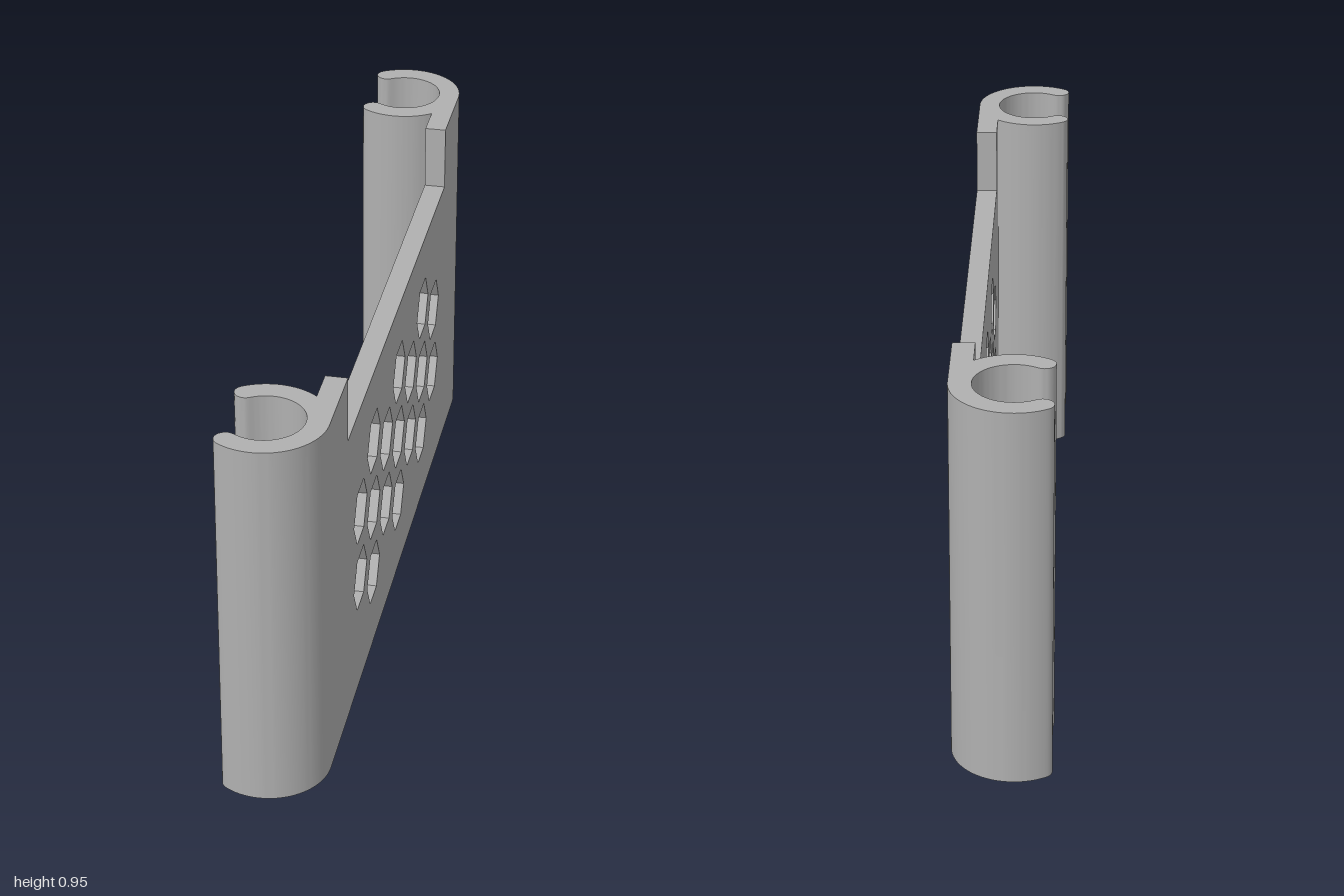
import * as THREE from 'three';
import { toCreasedNormals } from 'three/addons/utils/BufferGeometryUtils.js';

const HEIGHT = 0.948, PANEL_TOP = 0.782, PANEL_HALF = 0.648;
const CX = -0.028, CZ = 0.853;            // clip centre
const R_OUT = 0.147, R_IN = 0.094;        // clip radii
const THICK = R_OUT - R_IN;
const X_IN = CX + R_IN, X_OUT = CX + R_OUT;
const OPEN = THREE.MathUtils.degToRad(123); // half sweep of the C

// Points along an arc
function arc(cx, cy, r, a0, a1, n) {
  return Array.from({ length: n + 1 }, (_, i) => {
    const a = a0 + (a1 - a0) * i / n;
    return new THREE.Vector2(cx + r * Math.cos(a), cy + r * Math.sin(a));
  });
}

// C-shaped clip with rounded lips, joined to a short flat web
function clipGeometry(side) {
  const mid = (R_OUT + R_IN) / 2;
  const lip = (a, start) => arc(CX + mid * Math.cos(a), CZ + mid * Math.sin(a),
    THICK / 2, start, start + Math.PI, 12).slice(1, -1);
  const points = [
    new THREE.Vector2(X_OUT, PANEL_HALF),
    ...arc(CX, CZ, R_OUT, 0, OPEN, 36),
    ...lip(OPEN, OPEN),
    ...arc(CX, CZ, R_IN, OPEN, -OPEN, 64),
    ...lip(-OPEN, Math.PI - OPEN),
    ...arc(CX, CZ, R_OUT, -OPEN, -Math.acos(R_IN / R_OUT), 24),
    new THREE.Vector2(X_IN, PANEL_HALF),
  ];
  points.forEach((p) => { p.y *= -side; });
  const geometry = new THREE.ExtrudeGeometry(new THREE.Shape(points),
    { depth: HEIGHT, bevelEnabled: false });
  geometry.rotateX(-Math.PI / 2);
  return toCreasedNormals(geometry, 0.6);
}

// Lower flat panel pierced by staggered hexagons
function panelGeometry() {
  const shape = new THREE.Shape([
    new THREE.Vector2(-PANEL_HALF, 0), new THREE.Vector2(PANEL_HALF, 0),
    new THREE.Vector2(PANEL_HALF, PANEL_TOP), new THREE.Vector2(-PANEL_HALF, PANEL_TOP),
  ]);
  for (let col = -3; col <= 3; col++) {
    const rows = col % 2 ? [-0.5, 0.5] : [-1, 0, 1];
    for (const row of rows) {
      const hex = arc(col * 0.166, 0.398 + row * 0.19, 0.08, 0, -Math.PI * 2, 6).slice(0, 6);
      shape.holes.push(new THREE.Path(hex));
    }
  }
  const geometry = new THREE.ExtrudeGeometry(shape, { depth: THICK, bevelEnabled: false });
  geometry.rotateY(Math.PI / 2);
  geometry.translate(X_IN, 0, 0);
  return geometry;
}

export function createModel() {
  const group = new THREE.Group();
  group.name = 'clipOnPanel';
  const grey = new THREE.MeshStandardMaterial({ color: 0xb0b0b0 });
  grey.name = 'grey';

  const add = (name, geometry) => {
    const mesh = new THREE.Mesh(geometry, grey);
    mesh.name = name;
    group.add(mesh);
  };
  add('perforatedPanel', panelGeometry());
  add('frontClip', clipGeometry(1));
  add('backClip', clipGeometry(-1));
  return group;
}
